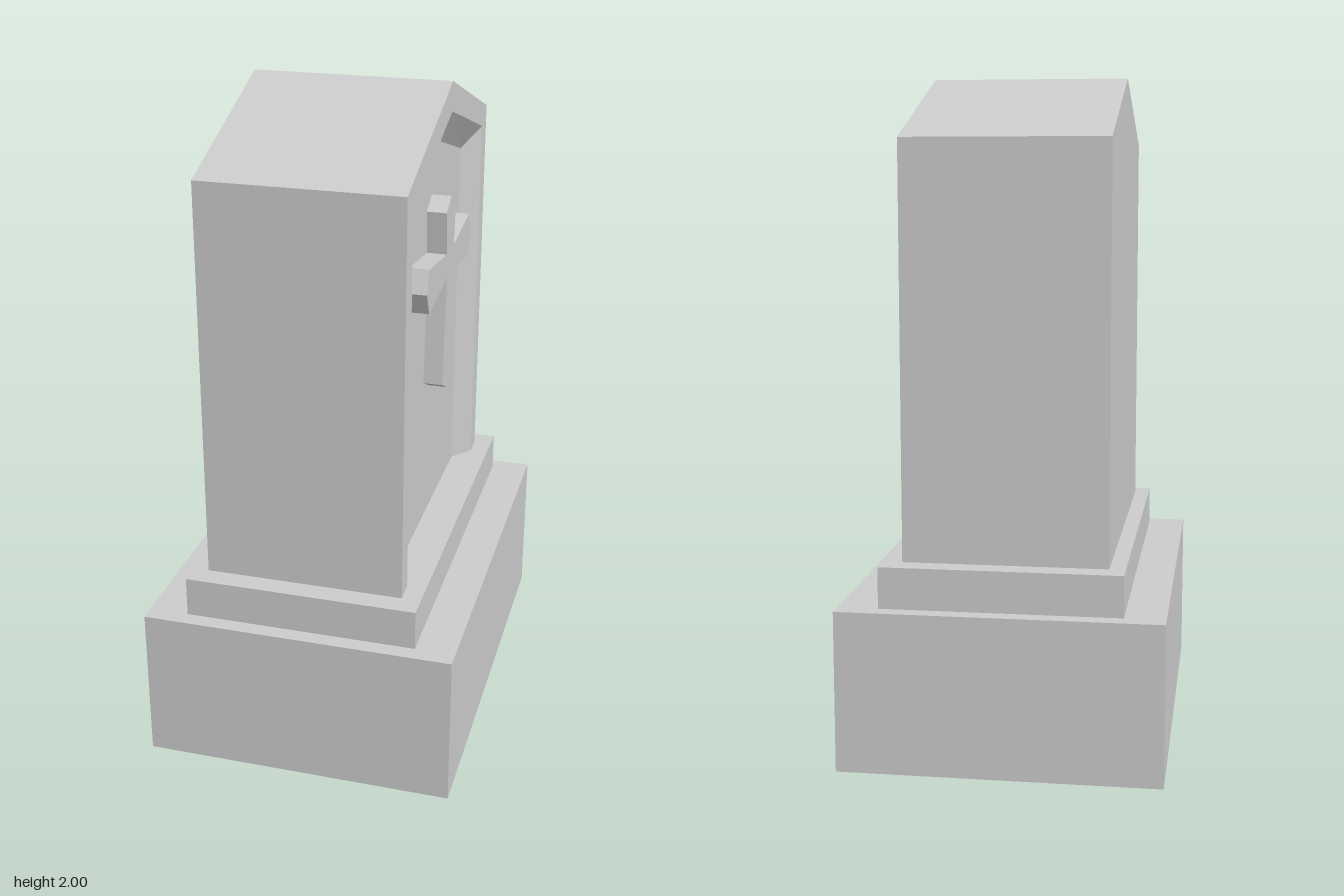
import * as THREE from 'three';

const material = new THREE.MeshStandardMaterial({ color: 0xcccccc, flatShading: true });

function addMesh(group, name, geometry) {
  const mesh = new THREE.Mesh(geometry, material);
  mesh.name = name;
  group.add(mesh);
  return mesh;
}

// Box standing on height y, given its width, height and depth
function addBlock(group, name, w, h, d, y) {
  addMesh(group, name, new THREE.BoxGeometry(w, h, d)).position.y = y + h / 2;
}

// Gabled cross-section at depth x, running from +z foot over the apex to -z foot
function gable(x, halfWidth, foot, shoulder, apex) {
  return [
    [x, foot, halfWidth], [x, shoulder, halfWidth], [x, apex, 0],
    [x, shoulder, -halfWidth], [x, foot, -halfWidth],
  ];
}

// Skin a row of gables and close the first and last with flat faces
function skinGables(loops) {
  const pos = [];
  const tri = (...points) => points.forEach((p) => pos.push(...p));
  for (let k = 0; k < loops.length - 1; k++) {
    const a = loops[k], b = loops[k + 1];
    for (let i = 0; i < 4; i++) {
      tri(a[i], b[i], b[i + 1]);
      tri(a[i], b[i + 1], a[i + 1]);
    }
  }
  const back = loops[0], front = loops[loops.length - 1];
  for (let i = 1; i < 4; i++) {
    tri(back[0], back[i], back[i + 1]);
    tri(front[0], front[i + 1], front[i]);
  }
  const geometry = new THREE.BufferGeometry();
  geometry.setAttribute('position', new THREE.Float32BufferAttribute(pos, 3));
  geometry.computeVertexNormals();
  return geometry;
}

export function createModel() {
  const group = new THREE.Group();
  group.name = 'gravestone';

  // Stepped base
  addBlock(group, 'base', 0.945, 0.476, 1.32, 0);
  addBlock(group, 'plinth', 0.705, 0.122, 1.222, 0.476);

  // Gabled stone with a bevelled recess in its +x face
  const foot = 0.598, face = 0.295, floor = 0.24;
  addMesh(group, 'headstone', skinGables([
    gable(-0.305, 0.544, foot, 1.81, 2),
    gable(face, 0.544, foot, 1.81, 2),
    gable(face, 0.476, foot, 1.757, 1.912),
    gable(floor, 0.41, foot, 1.697, 1.827),
  ]));

  // Flared cross standing out of the recess; half outline mirrored
  const half = [
    [0, 1.66], [0.066, 1.626], [0.05, 1.494], [0.279, 1.523], [0.31, 1.456],
    [0.275, 1.387], [0.037, 1.417], [0.066, 1.077], [0, 1.043],
  ];
  const mirrored = half.slice(1, -1).reverse().map(([z, y]) => [-z, y]);
  const outline = new THREE.Shape([...half, ...mirrored].map(([z, y]) => new THREE.Vector2(z, y)));
  const cross = new THREE.ExtrudeGeometry(outline, { depth: 0.07, bevelEnabled: false });
  cross.rotateY(Math.PI / 2);
  addMesh(group, 'cross', cross).position.x = 0.23;

  return group;
}
